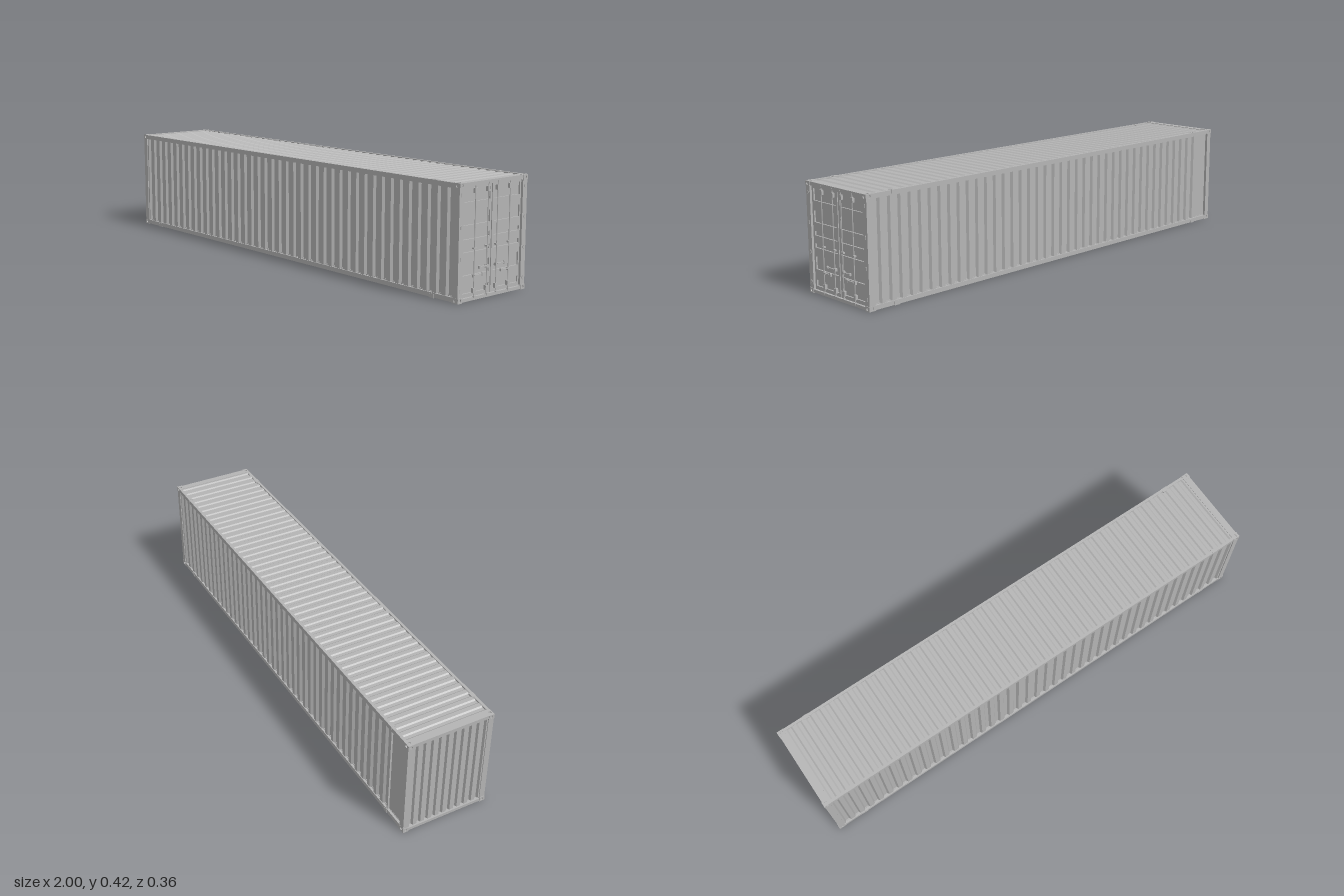
import * as THREE from 'three';

const H = 0.422, W = 0.178;

export function createModel() {
  const root = new THREE.Group();
  root.name = 'shippingContainer';
  const steel = new THREE.MeshStandardMaterial({ color: 0xb4b4b4 });
  steel.name = 'grey steel';

  const add = (name, geo, x = 0, y = 0, z = 0, parent = root) => {
    const m = new THREE.Mesh(geo, steel);
    m.name = name;
    m.position.set(x, y, z);
    parent.add(m);
    return m;
  };
  // Box given by its limits on each axis
  const box = (name, x0, x1, y0, y1, z0, z1, parent) =>
    add(name, new THREE.BoxGeometry(x1 - x0, y1 - y0, z1 - z0),
      (x0 + x1) / 2, (y0 + y1) / 2, (z0 + z1) / 2, parent);

  // Slab with trapezoid waves on +y, running along x and extruded along z
  const corrugated = (x0, x1, waves, depth, span, crest = 0.4) => {
    const s = new THREE.Shape();
    const p = (x1 - x0) / waves, ramp = p * 0.14;
    s.moveTo(x0, -0.004);
    s.lineTo(x0, depth);
    for (let i = 0; i < waves; i++) {
      const a = x0 + i * p;
      s.lineTo(a + p * crest / 2, depth);
      s.lineTo(a + p * crest / 2 + ramp, 0);
      s.lineTo(a + p - p * crest / 2 - ramp, 0);
      s.lineTo(a + p - p * crest / 2, depth);
    }
    s.lineTo(x1, depth);
    s.lineTo(x1, -0.004);
    const g = new THREE.ExtrudeGeometry(s, { depth: span, bevelEnabled: false });
    return g.translate(0, 0, -span / 2);
  };

  // Corrugated walls and roof
  const wallH = 0.386, midY = 0.211;
  add('frontSideWall', corrugated(-0.976, 0.976, 42, 0.009, wallH).rotateX(Math.PI / 2), 0, midY, 0.165);
  add('backSideWall', corrugated(-0.885, 0.976, 40, 0.009, wallH).rotateX(-Math.PI / 2), 0, midY, -0.165);
  box('backSideFlatPanel', -0.976, -0.885, 0.018, 0.404, -0.167, -0.16);
  add('roof', corrugated(-0.972, 0.972, 46, 0.004, 0.334), 0, 0.415, 0);
  add('closedEndWall', corrugated(-0.158, 0.158, 10, 0.009, wallH, 0.5)
    .rotateX(-Math.PI / 2).rotateY(Math.PI / 2), -0.986, midY, 0);

  // Rails, posts and end beams
  for (const s of [-1, 1]) {
    const zs = (a, b) => (s > 0 ? [a, b] : [-b, -a]);
    box('topSideRail', -0.972, 0.972, 0.403, H - 0.001, ...zs(0.166, 0.177));
    box('bottomSideRail', -0.972, 0.972, 0.002, 0.019, ...zs(0.166, 0.177));
    for (const e of [-1, 1]) {
      const xs = (a, b) => (e > 0 ? [a, b] : [-b, -a]);
      box('cornerPost', ...xs(0.974, 0.998), 0.018, 0.404, ...zs(0.155, W - 0.0005));
      // Lifting blocks set in from the ends
      box('topLiftingBlock', ...xs(0.863, 0.886), 0.408, H, ...zs(0.161, W));
      box('bottomLiftingBlock', ...xs(0.863, 0.886), 0, 0.014, ...zs(0.161, W));
    }
  }
  for (const e of [-1, 1]) {
    const xs = (a, b) => (e > 0 ? [a, b] : [-b, -a]);
    box('topEndBeam', ...xs(0.97, 0.998), 0.407, H - 0.001, -0.156, 0.156);
    box('bottomEndBeam', ...xs(0.97, 0.998), 0.002, 0.014, -0.156, 0.156);
  }

  // Corner castings: a core with pierced plates on the outer faces
  const plate = (w, h) => {
    const s = new THREE.Shape();
    s.moveTo(-w / 2, -h / 2);
    s.lineTo(w / 2, -h / 2);
    s.lineTo(w / 2, h / 2);
    s.lineTo(-w / 2, h / 2);
    s.closePath();
    const hole = new THREE.Path();
    hole.absellipse(0, 0, 0.0055, 0.0062, 0, Math.PI * 2, true);
    s.holes.push(hole);
    return new THREE.ExtrudeGeometry(s, { depth: 0.004, bevelEnabled: false, curveSegments: 8 })
      .translate(0, 0, -0.002);
  };
  const cw = 0.03, ch = 0.019, cd = 0.023;
  for (const e of [-1, 1]) for (const t of [-1, 1]) for (const s of [-1, 1]) {
    const c = new THREE.Group();
    c.name = 'cornerCasting';
    c.position.set(e * (1 - cw / 2), t > 0 ? H - ch / 2 : ch / 2, s * (W - cd / 2));
    add('castingCore', new THREE.BoxGeometry(cw - 0.008, ch - 0.008, cd - 0.008), 0, 0, 0, c);
    add('castingEndPlate', plate(cd, ch).rotateY(Math.PI / 2), e * (cw / 2 - 0.002), 0, 0, c);
    add('castingSidePlate', plate(cw, ch), 0, 0, s * (cd / 2 - 0.002), c);
    add('castingOuterPlate', plate(cw, cd).rotateX(Math.PI / 2), 0, t * (ch / 2 - 0.002), 0, c);
    root.add(c);
  }

  // Floor with crossbeams below
  box('floor', -0.974, 0.974, 0.016, 0.022, -0.168, 0.168);
  for (let i = 0; i < 21; i++) {
    const x = -0.9 + i * 0.09;
    box('floorCrossbeam', x - 0.008, x + 0.008, 0.004, 0.017, -0.167, 0.167);
  }
  for (const z of [-0.05, 0.05]) box('floorTunnelRail', -0.972, -0.9, 0.004, 0.017, z - 0.006, z + 0.006);

  // Doors with pressed panels, hinges, locking rods and handles
  const rows = [[0.028, 0.051], [0.092, 0.14], [0.174, 0.19], [0.22, 0.237], [0.27, 0.313], [0.351, 0.396]];
  const rect = (P, a, b, c, d) => {
    const p = new P();
    p.moveTo(a, c);
    p.lineTo(b, c);
    p.lineTo(b, d);
    p.lineTo(a, d);
    p.closePath();
    return p;
  };
  const face = 0.989;
  for (const s of [-1, 1]) {
    const door = new THREE.Group();
    door.name = s > 0 ? 'leftDoor' : 'rightDoor';
    root.add(door);
    const leaf = rect(THREE.Shape, -0.077, 0.077, 0.014, 0.405);
    for (const [a, b] of rows) leaf.holes.push(rect(THREE.Path, -0.067, 0.07, a, b));
    const geo = new THREE.ExtrudeGeometry(leaf, { depth: 0.008, bevelEnabled: false }).rotateY(Math.PI / 2);
    const m = add('doorLeaf', geo, face - 0.008, 0, s * 0.079, door);
    if (s < 0) m.rotation.x = 0;
    box('doorRecess', 0.974, face - 0.006, 0.014, 0.405, s * 0.079 - 0.077, s * 0.079 + 0.077, door);

    for (const y of [0.043, 0.156, 0.268, 0.38]) {
      box('hinge', 0.99, 1, y - 0.004, y + 0.004, s * 0.165 - 0.004, s * 0.165 + 0.002, door);
      add('hingePin', new THREE.CylinderGeometry(0.002, 0.002, 0.014, 8), 0.998, y, s * 0.167, door);
    }
    for (const [z, hy, dir] of [[0.025, 0.115, 1], [0.091, 0.089, -1]]) {
      add('lockingRod', new THREE.CylinderGeometry(0.0021, 0.0021, 0.402, 10), 0.994, 0.212, s * z, door);
      for (const y of [0.035, 0.389])
        box('rodBracket', face - 0.002, 0.997, y - 0.009, y + 0.009, s * z - 0.006, s * z + 0.006, door);
      box('rodGuide', face - 0.002, 0.997, 0.183, 0.189, s * z - 0.006, s * z + 0.006, door);
      for (const y of [0.012, 0.411])
        box('rodCam', 0.99, 0.999, y - 0.004, y + 0.004, s * z - 0.004, s * z + 0.004, door);
      const mid = s * (z + dir * 0.022), end = s * (z + dir * 0.042);
      box('handleBar', 0.994, 0.999, hy - 0.002, hy + 0.002, mid - 0.022, mid + 0.022, door);
      box('handleGrip', 0.993, 1, hy - 0.005, hy + 0.005, end - 0.004, end + 0.004, door);
      box('handleCatch', face - 0.002, 0.997, hy - 0.007, hy + 0.004, s * z - 0.005, s * z + 0.005, door);
    }
  }
  return root;
}
